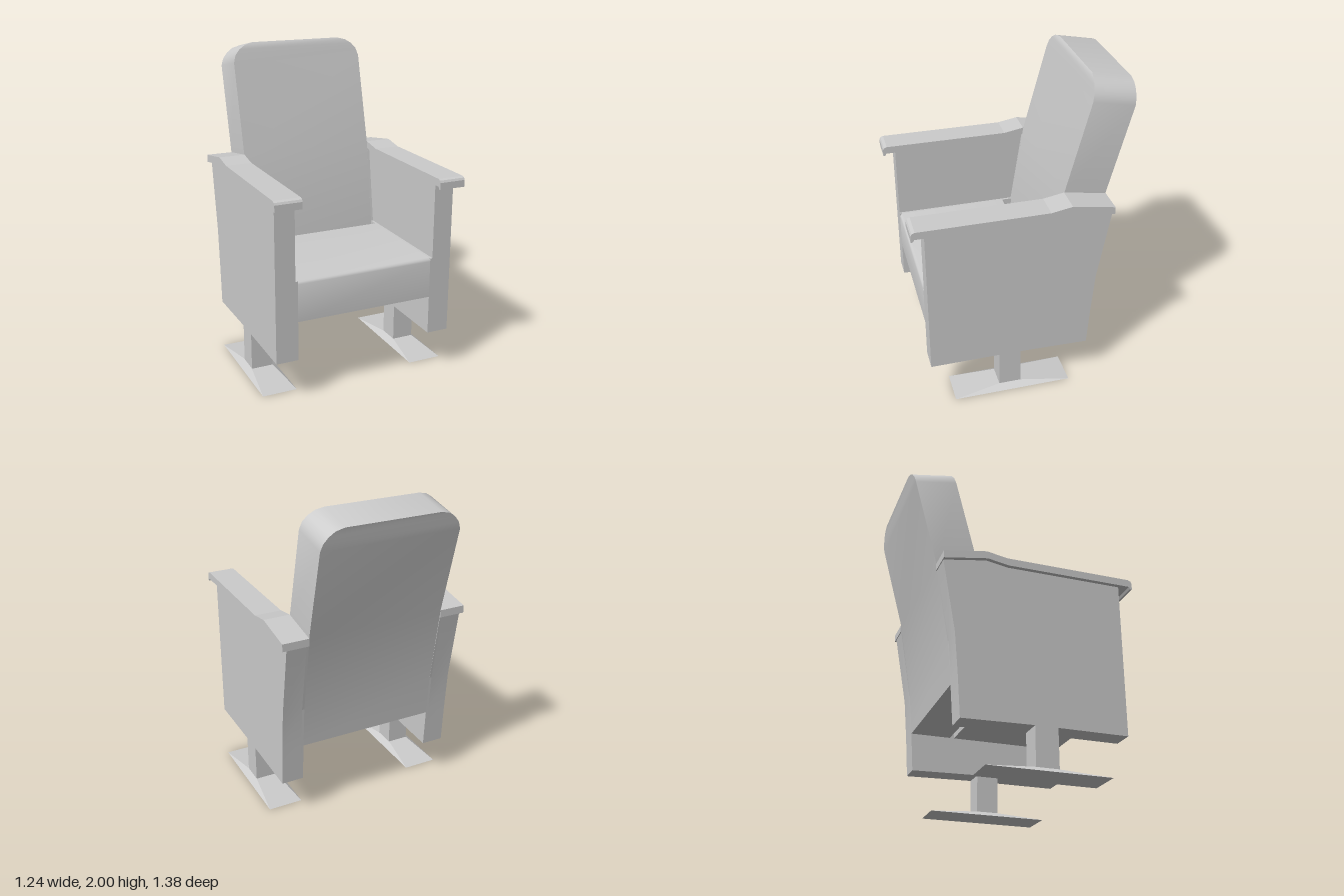
import * as THREE from 'three';
import { toCreasedNormals } from 'three/addons/utils/BufferGeometryUtils.js';

const grey = new THREE.MeshStandardMaterial({ color: 0xcccccc });

function addMesh(parent, name, geometry, crease = 0.45) {
  const mesh = new THREE.Mesh(toCreasedNormals(geometry, crease), grey);
  mesh.name = name;
  parent.add(mesh);
  return mesh;
}

// Extrude a side profile of [z, y] points across x from x0 to x1
function sideProfile(points, x0, x1) {
  const shape = new THREE.Shape(points.map(([z, y]) => new THREE.Vector2(z, y)));
  const geometry = new THREE.ExtrudeGeometry(shape, { depth: x1 - x0, bevelEnabled: false });
  return geometry.rotateY(-Math.PI / 2).translate(x1, 0, 0);
}

// Loft rows of [halfWidth, frontZ, frontY, backZ, backY] into a closed slab
function loftSlab(rows) {
  const positions = [], index = [];
  for (const [w, fz, fy, bz, by] of rows)
    positions.push(-w, fy, fz, w, fy, fz, w, by, bz, -w, by, bz);
  for (let r = 0; r < rows.length - 1; r++) {
    for (let i = 0; i < 4; i++) {
      const a = r * 4 + i, b = r * 4 + (i + 1) % 4;
      index.push(a, b, b + 4, a, b + 4, a + 4);
    }
  }
  const t = (rows.length - 1) * 4;
  index.push(0, 2, 1, 0, 3, 2, t, t + 1, t + 2, t, t + 2, t + 3);
  const geometry = new THREE.BufferGeometry();
  geometry.setAttribute('position', new THREE.Float32BufferAttribute(positions, 3));
  geometry.setIndex(index);
  geometry.computeVertexNormals();
  return geometry;
}

// Floor plate that slopes up to the post
function footPlate() {
  const geometry = new THREE.BoxGeometry(0.22, 0.03, 0.75).translate(0.51, 0.015, 0.095);
  const p = geometry.attributes.position;
  for (let i = 0; i < p.count; i++) {
    if (p.getY(i) < 0.02) continue;
    p.setX(i, p.getX(i) > 0.51 ? 0.58 : 0.44);
    p.setZ(i, p.getZ(i) > 0.1 ? 0.175 : 0.035);
  }
  geometry.computeVertexNormals();
  return geometry;
}

export function createModel() {
  const chair = new THREE.Group();
  chair.name = 'auditoriumChair';

  // Seat cushion with softened front and rear top edges
  addMesh(chair, 'seat', sideProfile([
    [0.61, 0.515], [0.61, 0.75], [0.604, 0.763], [0.59, 0.77],
    [-0.115, 0.77], [-0.13, 0.757], [-0.13, 0.505], [0.55, 0.505],
  ], -0.44, 0.44), 0.7);

  // Backrest: upright below, leaning above the arms, rounded at the top
  addMesh(chair, 'backrest', loftSlab([
    [0.44, -0.158, 0.505, -0.418, 0.505],
    [0.44, -0.18, 0.77, -0.44, 0.77],
    [0.44, -0.262, 1.315, -0.522, 1.27],
    [0.44, -0.41, 1.88, -0.67, 1.83],
    [0.425, -0.421, 1.927, -0.677, 1.873],
    [0.395, -0.43, 1.961, -0.683, 1.91],
    [0.355, -0.437, 1.986, -0.687, 1.938],
    [0.3, -0.448, 2.0, -0.69, 1.952],
  ]), 0.6);

  // Arm side profiles
  const panel = [
    [0.61, 0.27], [0.61, 1.25], [-0.12, 1.25], [-0.255, 1.27], [-0.52, 1.23],
    [-0.44, 0.77], [-0.418, 0.505], [-0.402, 0.26], [0.04, 0.27],
  ];
  const lowerLining = [
    [0.61, 0.27], [0.61, 0.77], [-0.44, 0.77], [-0.418, 0.505], [-0.402, 0.26], [0.04, 0.27],
  ];
  const rearLining = [[-0.18, 0.77], [-0.255, 1.27], [-0.52, 1.23], [-0.44, 0.77]];
  const armrest = [
    [0.69, 1.23], [0.69, 1.272], [0.683, 1.285], [0.665, 1.292], [-0.13, 1.292],
    [-0.26, 1.315], [-0.524, 1.27], [-0.524, 1.222], [-0.255, 1.268],
    [-0.12, 1.245], [0.67, 1.245], [0.677, 1.23],
  ];

  for (const side of [1, -1]) {
    const arm = new THREE.Group();
    arm.name = side > 0 ? 'leftSide' : 'rightSide';
    chair.add(arm);
    const span = (points, a, b) => side > 0 ? sideProfile(points, a, b) : sideProfile(points, -b, -a);

    addMesh(arm, 'sidePanel', span(panel, 0.455, 0.58), 0.2);
    addMesh(arm, 'lowerLining', span(lowerLining, 0.44, 0.455), 0.2);
    addMesh(arm, 'rearLining', span(rearLining, 0.44, 0.455), 0.2);
    addMesh(arm, 'armrest', span(armrest, 0.44, 0.607), 0.15);

    // Post and floor plate
    addMesh(arm, 'post', new THREE.BoxGeometry(0.14, 0.25, 0.14).translate(side * 0.51, 0.15, 0.105));
    const foot = footPlate();
    if (side < 0) foot.rotateY(Math.PI).translate(0, 0, 0.2);
    addMesh(arm, 'footPlate', foot, 0.02);
  }
  return chair;
}
